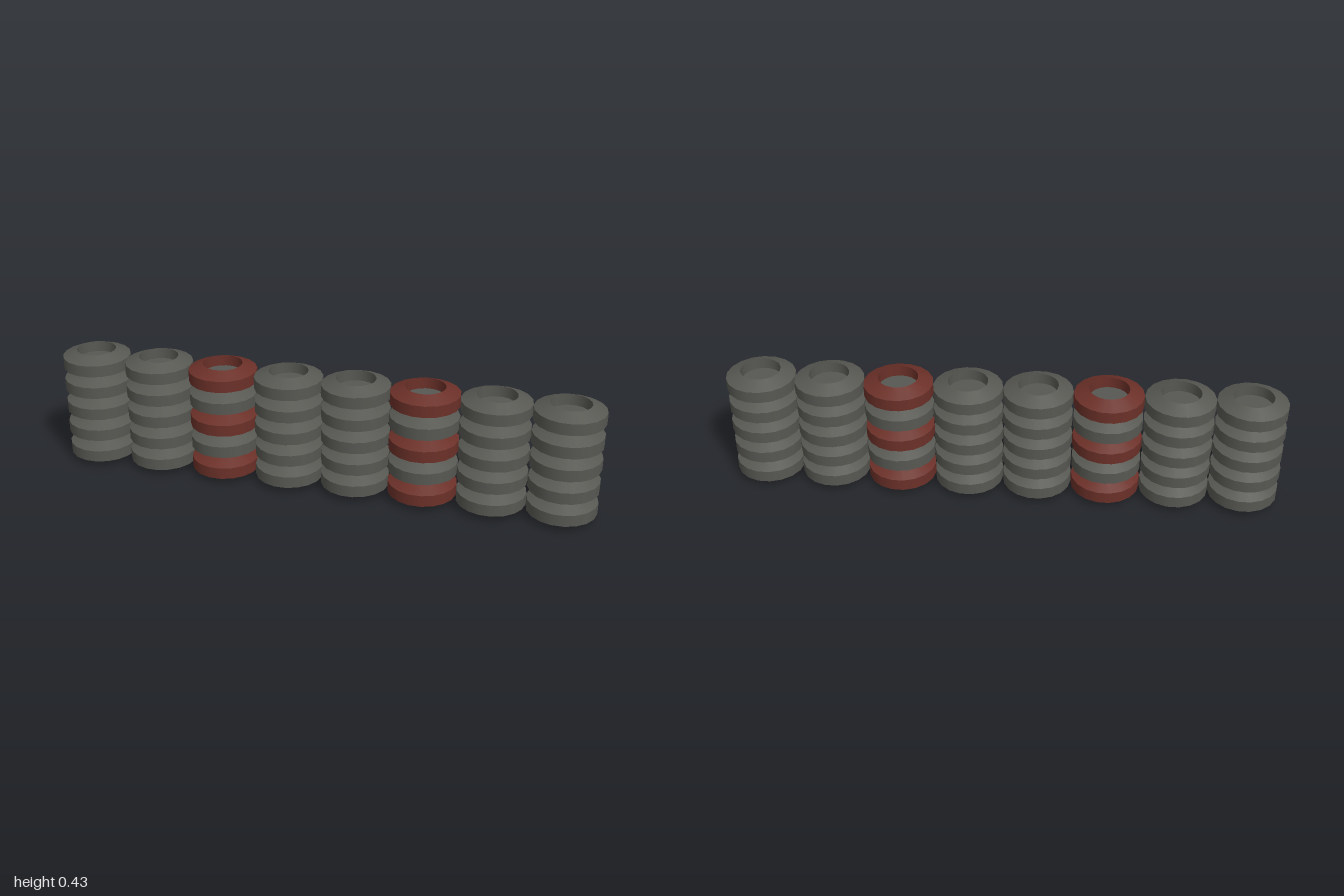
import * as THREE from 'three';

export function createModel() {
  const group = new THREE.Group();
  const rubber = new THREE.MeshStandardMaterial({ color: 0x575852 });
  rubber.name = 'darkRubber';
  const red = new THREE.MeshStandardMaterial({ color: 0x6b3028 });
  red.name = 'redPaint';

  const SIDES = 18, R = 0.125, HOLE = 0.072, H = 0.0866, BEVEL = 0.022;
  const ROWS = 5, COLUMNS = 8, PITCH = 0.25;

  // Tyre section: corners doubled so the bevels stay sharp
  const corners = [[HOLE, 0], [R, BEVEL], [R, H - BEVEL], [HOLE, H], [HOLE, 0]];
  const profile = corners.flatMap(([r, y], i) => {
    const ends = i === 0 || i === corners.length - 1;
    return Array.from({ length: ends ? 1 : 2 }, () => new THREE.Vector2(r, y));
  });
  const tyreGeometry = new THREE.LatheGeometry(profile, SIDES);

  // Filler closing the holes, recessed at the top and bottom
  const recess = 0.04;
  const coreHeight = ROWS * H - 2 * recess;
  const coreGeometry = new THREE.CylinderGeometry(HOLE - 0.0005, HOLE - 0.0005, coreHeight, SIDES);

  for (let c = 0; c < COLUMNS; c++) {
    const stack = new THREE.Group();
    stack.name = 'tyreStack';
    stack.position.x = (c - (COLUMNS - 1) / 2) * PITCH;
    const striped = c === 2 || c === 5;

    for (let r = 0; r < ROWS; r++) {
      const tyre = new THREE.Mesh(tyreGeometry, striped && r % 2 === 0 ? red : rubber);
      tyre.name = 'tyre';
      tyre.position.y = r * H;
      // Each tyre is turned a little differently
      tyre.rotation.y = Math.PI / 2 + (r % 2) * Math.PI / SIDES;
      stack.add(tyre);
    }

    const core = new THREE.Mesh(coreGeometry, rubber);
    core.name = 'stackCore';
    core.position.y = recess + coreHeight / 2;
    core.rotation.y = Math.PI / 2;
    stack.add(core);
    group.add(stack);
  }
  return group;
}
